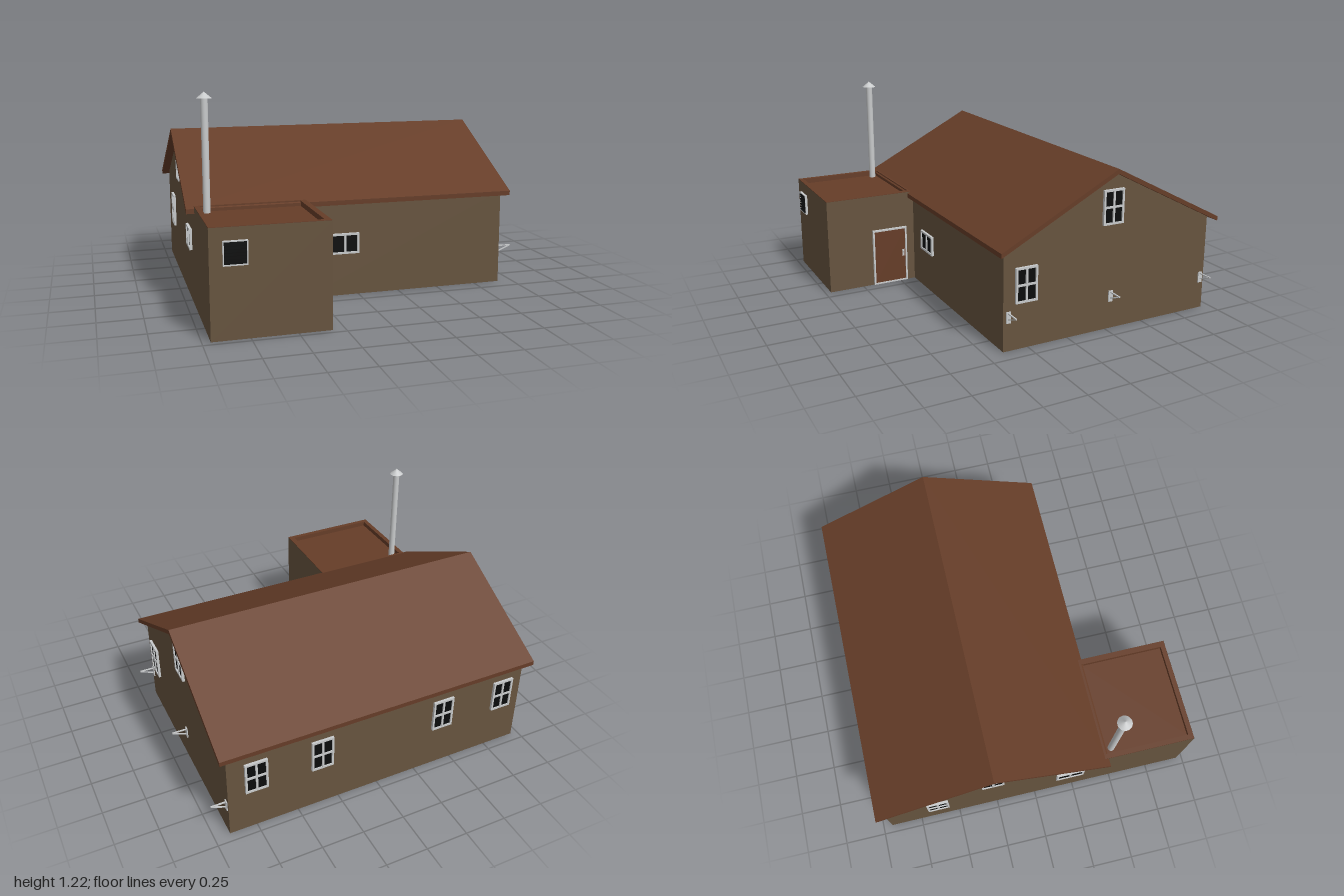
import * as THREE from 'three';

const mat = (name, color, side = THREE.FrontSide) => {
  const m = new THREE.MeshStandardMaterial({ color, side });
  m.name = name;
  return m;
};

export function createModel() {
  const house = new THREE.Group();
  house.name = 'house';
  const wall = mat('wall brown', 0x67543f, THREE.DoubleSide);
  const roof = mat('roof brown', 0x663d28);
  const metal = mat('light grey', 0xc8cacb);
  const glass = mat('dark glass', 0x0b0c0c);

  const add = (parent, name, geometry, material, x = 0, y = 0, z = 0) => {
    const mesh = new THREE.Mesh(geometry, material);
    mesh.name = name;
    mesh.position.set(x, y, z);
    parent.add(mesh);
    return mesh;
  };
  const box = (parent, name, material, w, h, d, x, y, z) =>
    add(parent, name, new THREE.BoxGeometry(w, h, d), material, x, y, z);
  const polygon = (points) => new THREE.Shape(points.map(([a, b]) => new THREE.Vector2(a, b)));
  const rect = (x0, y0, x1, y1) => [[x0, y0], [x1, y0], [x1, y1], [x0, y1]];
  const path = (points) => new THREE.Path(points.map(([a, b]) => new THREE.Vector2(a, b)));

  const X0 = -0.955, X1 = 0.91, XA = -0.32;            // left end, right end, annex side
  const ZF = 0.4, ZB = -0.945, ZA = 0.965, RIDGE = -0.275;
  const EAVE = 0.57, ANNEX = 0.585;

  // Thin open-bottomed walls; side walls are drawn in (z, y) and turned
  const sideWall = (name, points, x) => {
    const g = new THREE.ShapeGeometry(polygon(points));
    g.rotateY(-Math.PI / 2);
    add(house, name, g, wall, x);
  };
  const facingWall = (name, x0, x1, h, z) =>
    add(house, name, new THREE.ShapeGeometry(polygon(rect(x0, 0, x1, h))), wall, 0, 0, z);
  const gable = [[ZB, 0], [ZF, 0], [ZF, EAVE], [RIDGE, 0.92], [ZB, EAVE]];
  sideWall('leftGableWall', gable, X1);
  sideWall('rightGableWall', gable, X0);
  sideWall('annexOuterWall', rect(ZF, 0, ZA, ANNEX), X0);
  sideWall('annexDoorWall', rect(ZF, 0, ZA, ANNEX), XA);
  facingWall('frontWall', XA, X1, EAVE, ZF);
  facingWall('backWall', X0, X1, EAVE, ZB);
  facingWall('annexFrontWall', X0, XA, ANNEX, ZA);

  // Pitched main roof
  const roofGeo = new THREE.ExtrudeGeometry(polygon([
    [0.435, 0.548], [0.435, 0.575], [RIDGE, 0.94], [-0.985, 0.575], [-0.985, 0.548], [RIDGE, 0.912],
  ]), { depth: 1.955, bevelEnabled: false });
  roofGeo.rotateY(-Math.PI / 2);
  add(house, 'mainRoof', roofGeo, roof, 0.955);

  // Flat annex roof with a raised rim
  const rim = polygon(rect(X0 + 0.001, -ZA + 0.001, XA - 0.001, -ZF));
  rim.holes.push(path(rect(X0 + 0.03, -ZA + 0.03, XA - 0.035, -0.425)));
  const rimGeo = new THREE.ExtrudeGeometry(rim, { depth: 0.035, bevelEnabled: false });
  rimGeo.rotateX(-Math.PI / 2);
  add(house, 'annexRoofRim', rimGeo, roof, 0, 0.552, 0);
  box(house, 'annexRoof', roof, XA - X0 - 0.004, 0.01, ZA - ZF - 0.004,
    (X0 + XA) / 2, 0.552, (ZA + ZF) / 2);

  // Chimney pipe with conical cap
  add(house, 'chimneyPipe', new THREE.CylinderGeometry(0.02, 0.02, 0.63, 24), metal, -0.89, 0.87, 0.467);
  add(house, 'chimneyCap', new THREE.ConeGeometry(0.042, 0.035, 24), metal, -0.89, 1.198, 0.467);

  // Framed window with a grid of panes, facing local +z
  const makeWindow = (name, w, h, cols, rows, x, y, z, turn, border = 0.012) => {
    const g = new THREE.Group();
    g.name = name;
    g.position.set(x, y, z);
    g.rotation.y = turn;
    const frame = polygon(rect(-w / 2, -h / 2, w / 2, h / 2));
    const pw = (w - border * (cols + 1)) / cols, ph = (h - border * (rows + 1)) / rows;
    for (let i = 0; i < cols; i++) {
      for (let j = 0; j < rows; j++) {
        const px = -w / 2 + border + i * (pw + border), py = -h / 2 + border + j * (ph + border);
        frame.holes.push(path(rect(px, py, px + pw, py + ph)));
      }
    }
    add(g, 'windowFrame', new THREE.ExtrudeGeometry(frame, { depth: 0.017, bevelEnabled: false }), metal, 0, 0, -0.002);
    box(g, 'windowGlass', glass, w - 0.006, h - 0.006, 0.004, 0, 0, 0.006);
    box(g, 'windowBacking', metal, w - 0.004, h - 0.004, 0.004, 0, 0, -0.002);
    house.add(g);
    return g;
  };
  const R = Math.PI / 2;
  const TW = 0.132, TH = 0.2, TY = 0.367;
  for (const [x, turn, side] of [[X1, R, 'left'], [X0, -R, 'right']]) {
    makeWindow(side + 'GableWindow', TW, TH, 2, 2, x, 0.72, RIDGE, turn);
  }
  makeWindow('leftLowerWindow', TW, TH, 2, 2, X1, TY, 0.265, R);
  makeWindow('rightLowerWindow', TW, TH, 2, 2, X0, TY, -0.62, -R);
  makeWindow('rightWideWindow', 0.172, 0.122, 2, 1, X0, 0.37, 0.21, -R);
  makeWindow('frontWindow', 0.172, 0.122, 2, 1, -0.085, 0.312, ZF, 0);
  for (const x of [0.745, 0.355, -0.415, -0.825]) {
    makeWindow('backWindow', TW, TH, 2, 2, x, TY, ZB, Math.PI);
  }

  // Annex window with dark slats
  const vent = makeWindow('annexWindow', 0.128, 0.128, 1, 1, -0.823, 0.453, ZA, 0, 0.006);
  for (let i = 0; i < 7; i++) {
    box(vent, 'windowSlat', glass, 0.112, 0.005, 0.01, 0, -0.051 + i * 0.017, 0.014);
  }

  // Door with frame and handle on the annex side
  const door = new THREE.Group();
  door.name = 'door';
  door.position.set(XA, 0, 0.567);
  door.rotation.y = R;
  const doorFrame = polygon(rect(-0.113, 0.003, 0.113, 0.363));
  doorFrame.holes.push(path(rect(-0.102, 0.012, 0.102, 0.352)));
  add(door, 'doorFrame', new THREE.ExtrudeGeometry(doorFrame, { depth: 0.017, bevelEnabled: false }), metal, 0, 0, -0.003);
  box(door, 'doorPanel', roof, 0.206, 0.342, 0.013, 0, 0.182, 0.002);
  box(door, 'handlePlate', metal, 0.014, 0.045, 0.004, 0.088, 0.19, 0.01);
  box(door, 'handle', metal, 0.008, 0.01, 0.012, 0.088, 0.197, 0.016);
  house.add(door);

  // Triangular brackets on the left gable wall
  for (const z of [0.37, -0.28, -0.92]) {
    const bracket = new THREE.Group();
    bracket.name = 'wallBracket';
    bracket.position.set(X1, 0, z);
    box(bracket, 'bracketPlate', metal, 0.006, 0.065, 0.028, 0.003, 0.195, 0);
    box(bracket, 'bracketArm', metal, 0.088, 0.006, 0.008, 0.046, 0.219, 0);
    const strut = box(bracket, 'bracketStrut', metal, 0.094, 0.005, 0.008, 0.045, 0.2, 0);
    strut.rotation.z = 0.38;
    house.add(bracket);
  }

  return house;
}
